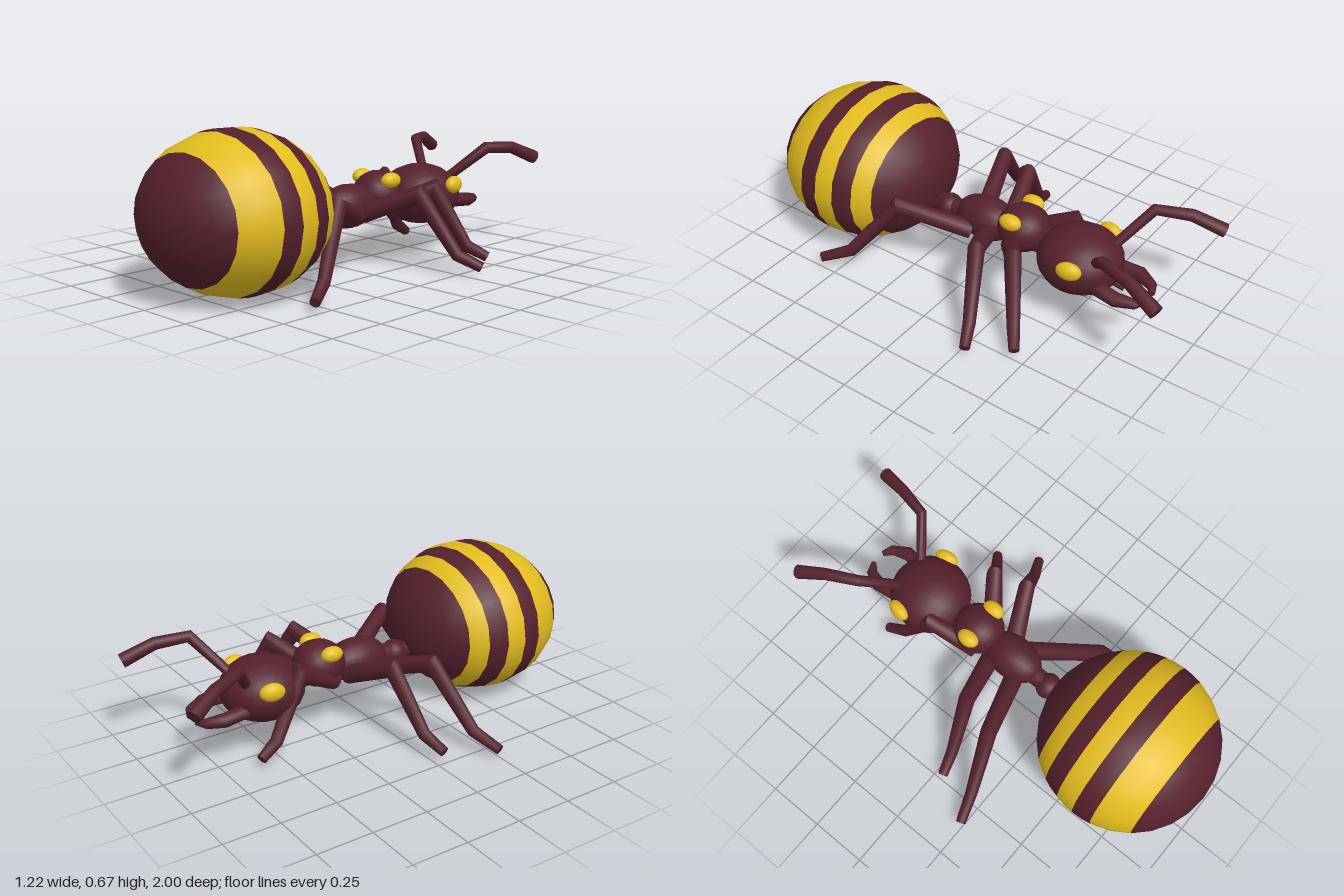
import * as THREE from 'three';
import { toCreasedNormals } from 'three/addons/utils/BufferGeometryUtils.js';

const maroon = new THREE.MeshStandardMaterial({ color: 0x54202c });
maroon.name = 'maroon shell';
const gold = new THREE.MeshStandardMaterial({ color: 0xe2bc1e });
gold.name = 'gold';

const AXIS = 0.075; // the body's midline in x

// Tapered limb through points [x, y, z, radius], with mitred joints and end caps
function limbGeometry(points, sides = 10) {
  const p = points.map(([x, y, z]) => new THREE.Vector3(x, y, z));
  const last = p.length - 1;
  const dirs = p.slice(1).map((q, i) => q.clone().sub(p[i]).normalize());
  const up = new THREE.Vector3(0, 1, 0);
  const pos = [], index = [];
  p.forEach((c, i) => {
    const a = dirs[Math.max(i - 1, 0)], b = dirs[Math.min(i, last - 1)];
    const t = a.clone().add(b).normalize();
    const side = t.clone().cross(up).normalize();
    const over = side.clone().cross(t);
    const bend = b.clone().sub(a);
    const stretch = 1 / Math.max(t.dot(a), 0.7);
    const vertical = Math.abs(bend.dot(over)) > Math.abs(bend.dot(side));
    const r = points[i][3];
    for (let j = 0; j < sides; j++) {
      const w = (j / sides) * Math.PI * 2;
      const v = c.clone()
        .addScaledVector(side, Math.cos(w) * r * (vertical ? 1 : stretch))
        .addScaledVector(over, Math.sin(w) * r * (vertical ? stretch : 1));
      pos.push(v.x, v.y, v.z);
    }
  });
  for (let i = 0; i < last; i++) {
    for (let j = 0; j < sides; j++) {
      const a = i * sides + j, b = i * sides + (j + 1) % sides;
      index.push(a, a + sides, b, b, a + sides, b + sides);
    }
  }
  for (let j = 1; j < sides - 1; j++) {
    const e = last * sides;
    index.push(0, j, j + 1, e, e + j + 1, e + j);
  }
  const g = new THREE.BufferGeometry();
  g.setAttribute('position', new THREE.Float32BufferAttribute(pos, 3));
  g.setIndex(index);
  return toCreasedNormals(g, 0.85);
}

export function createModel() {
  const group = new THREE.Group();

  const add = (name, geometry, material, parent = group) => {
    const mesh = new THREE.Mesh(geometry, material);
    mesh.name = name;
    parent.add(mesh);
    return mesh;
  };
  const ball = (name, material, [x, y, z], [rx, ry, rz], turn = 0) => {
    const mesh = add(name, new THREE.SphereGeometry(1, 20, 14).rotateX(Math.PI / 2), material);
    mesh.position.set(x, y, z);
    mesh.scale.set(rx, ry, rz);
    mesh.rotation.y = turn;
  };
  const limb = (name, points) => add(name, limbGeometry(points), maroon);

  // Striped abdomen: one ellipsoid cut into bands of whole rings, from its rear tip
  const abdomen = new THREE.Group();
  abdomen.name = 'abdomen';
  abdomen.position.set(AXIS, 0.335, 0.611);
  abdomen.scale.set(0.39, 0.333, 0.389);
  group.add(abdomen);
  const ring = Math.PI / 14;
  const cuts = [0, 4, 6, 7, 8, 9, 10, 14];
  for (let i = 0; i < cuts.length - 1; i++) {
    const n = cuts[i + 1] - cuts[i];
    const band = new THREE.SphereGeometry(1, 20, n, 0, Math.PI * 2, cuts[i] * ring, n * ring);
    add('abdomenBand', band.rotateX(Math.PI / 2), i % 2 ? gold : maroon, abdomen);
  }

  // Waist, thorax and head
  ball('waist', maroon, [AXIS, 0.25, 0.18], [0.058, 0.057, 0.055]);
  limb('waistNeck', [[AXIS, 0.26, 0.05, 0.045], [AXIS, 0.25, 0.3, 0.04]]);
  ball('rearThorax', maroon, [AXIS, 0.271, -0.02], [0.095, 0.096, 0.145]);
  ball('frontThorax', maroon, [AXIS, 0.303, -0.213], [0.113, 0.102, 0.115]);
  ball('head', maroon, [AXIS, 0.267, -0.493], [0.178, 0.137, 0.183]);
  limb('headNeck', [[AXIS, 0.28, -0.2, 0.06], [AXIS, 0.27, -0.42, 0.06]]);

  // Paired eyes, thorax spots and mandibles
  for (const s of [-1, 1]) {
    ball('eye', gold, [AXIS + s * 0.163, 0.32, -0.535], [0.032, 0.039, 0.054], s * 0.2);
    ball('thoraxSpot', gold, [AXIS + s * 0.086, 0.371, -0.2], [0.035, 0.034, 0.05]);
    limb('mandible', [
      [AXIS + s * 0.085, 0.23, -0.6, 0.032], [AXIS + s * 0.1, 0.222, -0.72, 0.031],
      [AXIS + s * 0.07, 0.214, -0.79, 0.022], [AXIS + s * 0.03, 0.21, -0.815, 0.012],
    ]);
  }

  // Antennae, each thickening to its tip
  limb('rightAntenna', [
    [0.01, 0.33, -0.6, 0.021], [-0.135, 0.475, -0.705, 0.024],
    [-0.2, 0.466, -0.84, 0.027], [-0.255, 0.41, -0.965, 0.031],
  ]);
  limb('leftAntenna', [
    [0.14, 0.33, -0.6, 0.021], [0.283, 0.475, -0.71, 0.024],
    [0.318, 0.466, -0.85, 0.027], [0.35, 0.41, -0.985, 0.031],
  ]);

  // Legs: hip and foot in [x, z], with a raised knee and a low ankle between
  const legs = [
    ['leftFrontLeg', [0.14, -0.19], [0.495, -0.455]],
    ['leftMiddleLeg', [0.13, -0.06], [0.597, -0.285]],
    ['leftRearLeg', [0.15, 0.01], [0.488, 0.578]],
    ['rightFrontLeg', [0.01, -0.18], [-0.11, -0.61]],
    ['rightMiddleLeg', [0.02, -0.1], [-0.485, 0.04]],
    ['rightRearLeg', [0.02, 0.035], [-0.6, 0.24]],
  ];
  for (const [name, hip, foot] of legs) {
    const at = (f, y, r) => [hip[0] + (foot[0] - hip[0]) * f, y, hip[1] + (foot[1] - hip[1]) * f, r];
    limb(name, [at(0, 0.24, 0.043), at(0.47, 0.34, 0.036), at(0.8, 0.09, 0.027), at(1, 0.045, 0.022)]);
  }
  return group;
}
